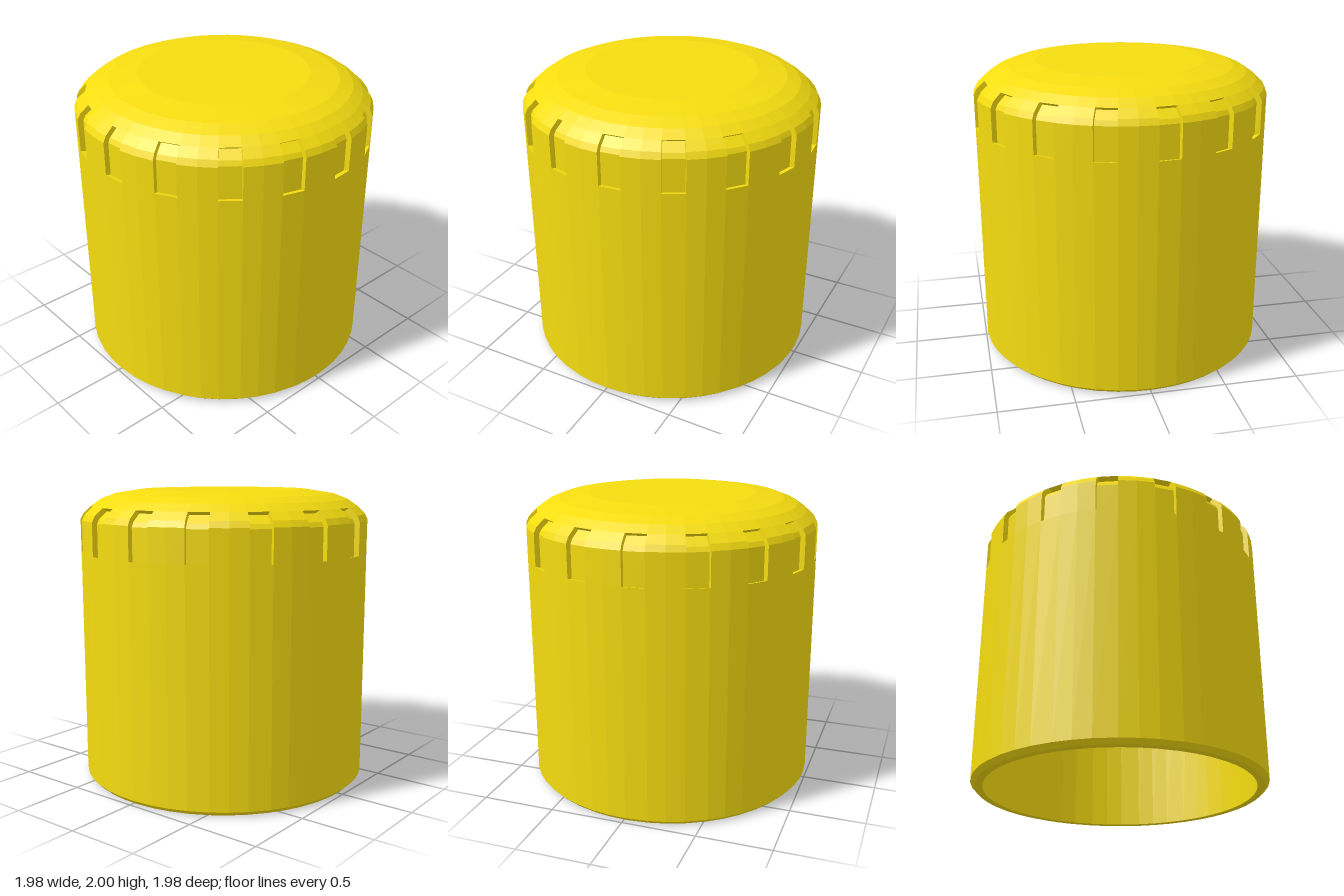
import * as THREE from 'three';

const GROOVES = 16;
const STEP = (Math.PI * 2) / GROOVES;
const OFFSET = STEP / 4;  // turn of the first groove away from the front
const HALF = 0.074;       // half angle of one groove

// [radius, height] sections
const LOWER = [[0.91, 0], [0.96, 0], [0.99, 0.03], [0.99, 1.58]];
const SHOULDER = [[0.99, 1.58], [0.99, 1.8], [0.97, 1.84], [0.915, 1.89]];
const FLOOR = [[0.955, 1.572], [0.955, 1.79], [0.94, 1.82], [0.885, 1.87]];
const CROWN = [[0.915, 1.89], [0.85, 1.935], [0.76, 1.97], [0.57, 2], [0, 2]];
const INSIDE = [[0, 1.92], [0.5, 1.92], [0.82, 1.86], [0.91, 1.76], [0.91, 0]];

const at = ([r, y], a) => [r * Math.sin(a), y, r * Math.cos(a)];

function quad(out, a, b, c, d) {
  out.push(...a, ...b, ...c, ...a, ...c, ...d);
}

// sweep a section from angle a0 to a1 as one flat facet per segment
function sweep(out, section, a0, a1) {
  for (let i = 0; i < section.length - 1; i++) {
    const p = section[i], q = section[i + 1];
    quad(out, at(p, a0), at(p, a1), at(q, a1), at(q, a0));
  }
}

// radial wall closing one side of a groove
function sideWall(out, a, flip) {
  for (let i = 0; i < FLOOR.length - 1; i++) {
    const c = [at(SHOULDER[i], a), at(FLOOR[i], a), at(FLOOR[i + 1], a), at(SHOULDER[i + 1], a)];
    if (flip) c.reverse();
    quad(out, ...c);
  }
}

export function createModel() {
  const group = new THREE.Group();
  const material = new THREE.MeshStandardMaterial({ color: 0xf5dc10, flatShading: true });
  const shell = [], grooves = [], inside = [];

  for (let i = 0; i < GROOVES; i++) {
    const mid = OFFSET + i * STEP;
    const angles = [mid - HALF, mid + HALF, mid + STEP / 2, mid + STEP - HALF];

    // outer wall and crown, plus the hollow inside
    for (let k = 0; k < 3; k++) {
      for (const [out, section] of [[shell, LOWER], [shell, CROWN], [inside, INSIDE]]) {
        sweep(out, section, angles[k], angles[k + 1]);
      }
      if (k > 0) sweep(shell, SHOULDER, angles[k], angles[k + 1]);
    }

    // recessed groove: ledge, floor, ceiling and two sides
    sweep(grooves, [SHOULDER[0], ...FLOOR, SHOULDER[3]], angles[0], angles[1]);
    sideWall(grooves, angles[0], false);
    sideWall(grooves, angles[1], true);
  }

  const parts = { outerShell: shell, gripGrooves: grooves, innerWall: inside };
  for (const [name, positions] of Object.entries(parts)) {
    const geometry = new THREE.BufferGeometry();
    geometry.setAttribute('position', new THREE.Float32BufferAttribute(positions, 3));
    geometry.computeVertexNormals();
    const mesh = new THREE.Mesh(geometry, material);
    mesh.name = name;
    group.add(mesh);
  }
  group.name = 'cap';
  return group;
}
